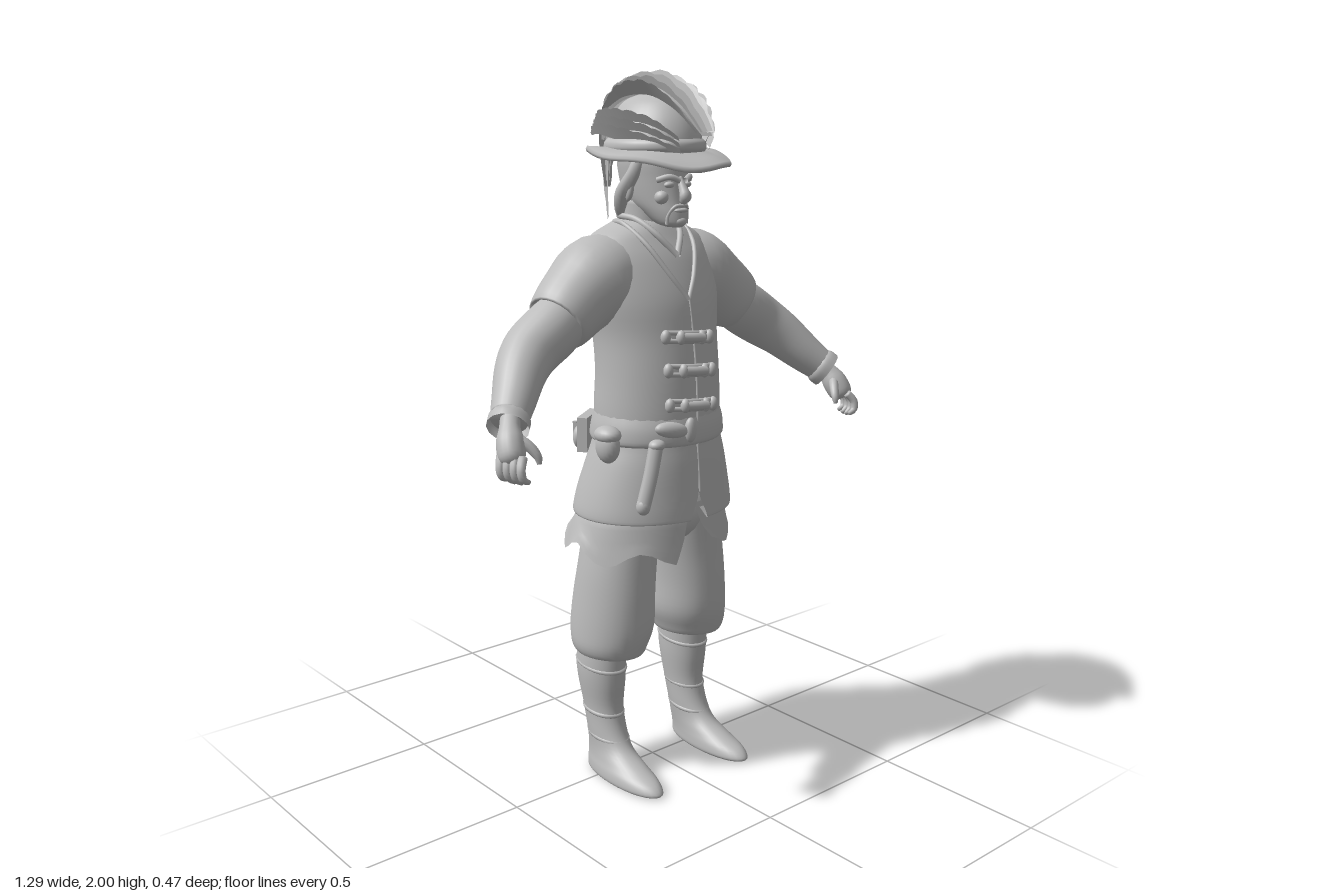
import * as THREE from 'three';
import { mergeVertices } from 'three/addons/utils/BufferGeometryUtils.js';

const V = (x, y, z) => new THREE.Vector3(x, y, z);
const grey = new THREE.MeshStandardMaterial({ color: 0xbcbcbc, side: THREE.DoubleSide });
grey.name = 'plain grey';

// Smoothly resample rows of numbers
function dense(rows, n = 4) {
  const out = [], at = i => rows[Math.min(Math.max(i, 0), rows.length - 1)];
  for (let i = 0; i < rows.length - 1; i++) for (let s = 0; s < n; s++) {
    const t = s / n;
    out.push(rows[i].map((b, k) => {
      const a = at(i - 1)[k], c = at(i + 1)[k], d = at(i + 2)[k];
      return 0.5 * (2 * b + (c - a) * t + (2 * a - 5 * b + 4 * c - d) * t * t + (3 * b - a - 3 * c + d) * t ** 3);
    }));
  }
  out.push(rows[rows.length - 1]);
  return out;
}

// Skin a list of point rings, optionally closing both ends
function loft(rings, capped = true) {
  const n = rings[0].length, pos = [], idx = [];
  rings.forEach(r => r.forEach(p => pos.push(p.x, p.y, p.z)));
  for (let i = 0; i < rings.length - 1; i++) for (let j = 0; j < n - 1; j++) {
    const a = i * n + j, d = a + n;
    idx.push(a, a + 1, d + 1, a, d + 1, d);
  }
  if (capped) [0, rings.length - 1].forEach(i => {
    const c = rings[i].slice(1).reduce((s, p) => s.add(p), V(0, 0, 0)).divideScalar(n - 1), ci = pos.length / 3;
    pos.push(c.x, c.y, c.z);
    for (let j = 0; j < n - 1; j++) {
      const a = i * n + j;
      i ? idx.push(a, a + 1, ci) : idx.push(a + 1, a, ci);
    }
  });
  let g = new THREE.BufferGeometry();
  g.setAttribute('position', new THREE.Float32BufferAttribute(pos, 3));
  g.setIndex(idx);
  g = mergeVertices(g, 1e-5);
  g.computeVertexNormals();
  return g;
}

// Upright form from rows [y, cx, cz, rx, rz, frontGap]
function upright(rows, capped = true, rule = p => p, seg = 32) {
  return loft(dense(rows).map(([y, cx, cz, rx, rz, gap = 0]) => Array.from({ length: seg + 1 }, (_, j) => {
    const g = Math.max(gap, 0), a = j === seg && !g ? 0 : g + (j / seg) * (2 * Math.PI - 2 * g);
    return rule(V(cx + rx * Math.sin(a), y, cz + rz * Math.cos(a)), a);
  })), capped);
}

// Limb from rows [x, y, z, radius]
function limb(rows, capped = true, seg = 18, n = 4) {
  const d = dense(rows, n);
  return loft(d.map(([x, y, z, r], i) => {
    const p = d[Math.max(i - 1, 0)], q = d[Math.min(i + 1, d.length - 1)];
    const t = V(q[0] - p[0], q[1] - p[1], q[2] - p[2]).normalize();
    const u = V(0.12, 0.3, 1).cross(t).normalize(), v = u.clone().cross(t);
    return Array.from({ length: seg + 1 }, (_, j) => {
      const a = (j % seg) / seg * 2 * Math.PI;
      return V(x, y, z).addScaledVector(u, r * Math.sin(a)).addScaledVector(v, r * Math.cos(a));
    });
  }), capped);
}

// Tapering, ragged feather blade along a path
function feather(pts, w, side, rag = 0.25) {
  const c = new THREE.CatmullRomCurve3(pts), N = 26;
  return loft(Array.from({ length: N + 1 }, (_, i) => {
    const t = i / N, p = c.getPoint(t), s = side(p).multiplyScalar(w * (0.15 + Math.sin(Math.PI * Math.min(t * 0.9 + 0.08, 1))));
    return [p.clone().sub(s), p.clone(), p.clone().addScaledVector(s, i % 3 ? 1 : 1 - rag)];
  }), false);
}

const tube = (pts, r, n = 24) => new THREE.TubeGeometry(new THREE.CatmullRomCurve3(pts), n, r, 8);

export function createModel() {
  const root = new THREE.Group();
  const add = (name, geo, parent = root, p = [0, 0, 0], s = [1, 1, 1], r = [0, 0, 0]) => {
    const m = new THREE.Mesh(geo, grey);
    m.name = name;
    m.position.set(...p); m.scale.set(...s); m.rotation.set(...r);
    parent.add(m);
    return m;
  };
  const ball = new THREE.SphereGeometry(1, 20, 14);

  // Tunic, open at the front hem
  const tunic = [[0.815, 0, 0, 0.215, 0.175, 0.12], [0.79, 0, 0, 0.24, 0.2, 0.13], [0.81, 0, 0, 0.243, 0.202, 0.1],
    [0.87, 0, 0.005, 0.23, 0.193, 0], [0.95, 0, 0.015, 0.208, 0.178, 0], [1.02, 0, 0.02, 0.188, 0.166, 0], [1.1, 0, 0.02, 0.187, 0.166, 0],
    [1.2, 0, 0.02, 0.184, 0.16, 0], [1.3, 0, 0.01, 0.187, 0.157, 0], [1.4, 0, -0.005, 0.205, 0.155, 0], [1.5, 0, -0.025, 0.21, 0.135, 0],
    [1.56, 0, -0.035, 0.18, 0.108, 0], [1.595, 0, -0.035, 0.11, 0.085, 0], [1.61, 0, -0.035, 0.07, 0.07, 0]];
  add('tunic', upright(tunic, false, p => p, 48));
  const rows = dense(tunic, 6).slice(14);
  const onFront = (x, y, off = 0) => {
    const i = Math.max(rows.findIndex(r => r[0] >= y), 1), a = rows[i - 1], b = rows[i], t = (y - a[0]) / (b[0] - a[0]);
    const m = k => a[k] + (b[k] - a[k]) * t;
    return V(x, y, m(2) + m(4) * Math.sqrt(Math.max(0, 1 - (x / m(3)) ** 2)) + off);
  };
  add('waistFold', upright([[1.0, 0, 0.018, 0.188, 0.164], [1.012, 0, 0.018, 0.199, 0.176], [1.05, 0, 0.02, 0.196, 0.174], [1.085, 0, 0.02, 0.186, 0.165]], false));

  // Ragged undershirt tails
  add('undershirt', upright([[0.83, 0, 0, 0.21, 0.17, 0.04], [0.77, 0, -0.01, 0.235, 0.19, 0.12], [0.7, 0, -0.024, 0.258, 0.212, 0.26]],
    false, (p, a) => { if (p.y < 0.76) p.y += (0.76 - p.y) * 0.35 * Math.sin(a * 7) + (p.z > 0 && p.x < 0 ? -0.015 : 0); return p; }, 40));
  add('hips', ball, root, [0, 0.77, 0], [0.2, 0.1, 0.13]);

  // Collar and jacket closure
  for (const s of [1, -1]) {
    add('collarOuter', tube([V(0, 1.6, -0.118), V(s * 0.075, 1.6, -0.075), V(s * 0.098, 1.6, -0.01), onFront(s * 0.085, 1.55, 0.004),
      onFront(s * 0.045, 1.47, 0.002), onFront(0, 1.4, 0.001)], 0.007));
    add('collarInner', tube([V(0, 1.617, -0.105), V(s * 0.068, 1.617, -0.06), V(s * 0.065, 1.61, 0.005), onFront(s * 0.045, 1.575, 0.004), onFront(0, 1.515, 0.002)], 0.009));
  }
  add('frontSeam', tube([1.4, 1.3, 1.2, 1.1, 1.0, 0.9, 0.87].map(y => onFront(0.004, y, 0)), 0.004));
  [1.3, 1.21, 1.115].forEach((y, i) => {
    const g = new THREE.Group();
    g.name = 'toggle' + (i + 1);
    root.add(g);
    [0.011, -0.011].forEach(dy => add('cord', tube([-0.085, -0.03, 0.02, 0.06].map(x => onFront(x, y + dy - x * 0.08, 0.005)), 0.007, 12), g));
    add('peg', tube([-0.045, -0.01, 0.025].map(x => onFront(x, y - x * 0.08, 0.016)), 0.013, 10), g);
    [-0.088, -0.045, 0.027, 0.06].forEach(x => add('knot', ball, g, onFront(x, y - x * 0.08, 0.01).toArray(), [0.014, 0.02, 0.014]));
  });

  // Belt items
  add('sashKnot', ball, root, onFront(-0.085, 1.055, 0.012).toArray(), [0.05, 0.022, 0.02], [0, -0.3, -0.15]);
  add('sashEnd', ball, root, onFront(-0.03, 1.05, 0.012).toArray(), [0.018, 0.035, 0.015]);
  add('scabbard', tube([onFront(-0.125, 1.01, 0.015), onFront(-0.145, 0.93, 0.015), onFront(-0.168, 0.85, 0.018)], 0.02), root);
  add('scabbardTip', ball, root, onFront(-0.168, 0.85, 0.018).toArray(), [0.02, 0.025, 0.02]);
  add('knifeHandle', ball, root, onFront(-0.122, 1.015, 0.015).toArray(), [0.024, 0.016, 0.022]);
  add('sidePouch', ball, root, [-0.212, 1.01, 0.06], [0.03, 0.05, 0.04]);
  add('sidePouchFlap', ball, root, [-0.212, 1.04, 0.06], [0.034, 0.025, 0.043]);
  const kit = new THREE.Group();
  kit.name = 'backPouch';
  kit.position.set(-0.115, 1.0, -0.15);
  kit.rotation.y = Math.PI + 0.62;
  root.add(kit);
  add('pouchBody', new THREE.BoxGeometry(0.13, 0.1, 0.03), kit);
  [-0.032, 0.032].forEach(x => {
    add('pocket', ball, kit, [x, -0.012, 0.018], [0.028, 0.034, 0.018]);
    add('pocketStrap', new THREE.BoxGeometry(0.01, 0.035, 0.012), kit, [x, 0.015, 0.03]);
  });

  // Mirrored limbs
  for (const s of [1, -1]) {
    const side = new THREE.Group();
    side.name = s > 0 ? 'leftLimbs' : 'rightLimbs';
    side.scale.x = s;
    root.add(side);
    add('sleeve', limb([[0.04, 1.465, -0.03, 0.09], [0.16, 1.453, -0.032, 0.122], [0.25, 1.405, -0.022, 0.106], [0.322, 1.352, -0.008, 0.09], [0.33, 1.347, -0.006, 0.07]], true, 24), side);
    add('forearm', limb([[0.29, 1.372, -0.012, 0.075], [0.35, 1.332, -0.004, 0.08], [0.42, 1.288, 0.004, 0.077], [0.475, 1.245, 0.035, 0.069],
      [0.53, 1.187, 0.082, 0.058], [0.572, 1.145, 0.118, 0.049]], true, 24), side);
    add('cuff', limb([[0.563, 1.153, 0.11, 0.047], [0.572, 1.144, 0.119, 0.055], [0.586, 1.13, 0.132, 0.055]], false, 14), side);
    add('palm', limb([[0.56, 1.155, 0.108, 0.026], [0.582, 1.13, 0.135, 0.027], [0.595, 1.1, 0.155, 0.036], [0.605, 1.065, 0.175, 0.034], [0.608, 1.05, 0.182, 0.02]]), side);
    for (let f = 0; f < 4; f++) {
      const o = f - 1.5, x = 0.606 + o * 0.007, z = 0.178 - o * 0.02;
      add('finger' + (f + 1), limb([[x, 1.075 + 0.004 * o, z, 0.012], [x + 0.016, 1.045, z + 0.014, 0.0115], [x + 0.013, 1.02, z + 0.018, 0.01],
        [x - 0.006, 1.002 + 0.005 * Math.abs(o), z + 0.016, 0.006]], true, 10), side);
    }
    add('thumb', limb([[0.585, 1.11, 0.16, 0.015], [0.562, 1.09, 0.185, 0.014], [0.548, 1.065, 0.203, 0.011], [0.546, 1.045, 0.208, 0.006]], true, 10), side);
    // Baggy breeches gathered below the knee
    add('breeches', upright([[0.41, 0.15, -0.03, 0.06, 0.08], [0.378, 0.15, -0.018, 0.088, 0.108], [0.405, 0.15, -0.016, 0.104, 0.122], [0.46, 0.141, -0.015, 0.113, 0.133],
      [0.55, 0.137, -0.01, 0.109, 0.13], [0.65, 0.128, -0.004, 0.106, 0.122], [0.79, 0.108, 0, 0.102, 0.12]]), side);
    // Soft boot with a long toe
    add('boot', upright([[0, 0.168, 0.068, 0.048, 0.145], [0.01, 0.168, 0.073, 0.057, 0.158], [0.032, 0.167, 0.062, 0.056, 0.147], [0.055, 0.164, 0.033, 0.051, 0.118],
      [0.085, 0.161, 0, 0.048, 0.086], [0.13, 0.159, -0.02, 0.05, 0.07], [0.2, 0.158, -0.038, 0.052, 0.069], [0.28, 0.159, -0.044, 0.061, 0.081],
      [0.34, 0.159, -0.045, 0.063, 0.086], [0.43, 0.155, -0.035, 0.06, 0.08]]), side);
    [0.115, 0.19, 0.33].forEach((y, i) => add('bootFold', new THREE.TorusGeometry(1, 0.12, 8, 28), side, [0.159, y, [-0.014, -0.036, -0.045][i]],
      [[0.046, 0.048, 0.058][i], [0.068, 0.065, 0.081][i], 0.06], [Math.PI / 2 + 0.1, 0, 0]));
    // Face halves
    add('eye', ball, side, [0.03, 1.705, 0.104], [0.016, 0.009, 0.012]);
    add('brow', tube([V(0.01, 1.716, 0.124), V(0.035, 1.726, 0.112), V(0.058, 1.717, 0.085)], 0.008, 10), side);
    add('cheek', ball, side, [0.04, 1.672, 0.085], [0.02, 0.02, 0.022]);
    add('moustache', tube([V(0, 1.651, 0.127), V(0.02, 1.648, 0.118), V(0.033, 1.625, 0.104), V(0.035, 1.6, 0.1)], 0.005, 12), side);
    add('ear', ball, side, [0.08, 1.692, -0.005], [0.012, 0.034, 0.022], [0.15, 0.3, 0]);
    add('sideLock', limb([[0.068, 1.77, 0.03, 0.02], [0.082, 1.73, 0.015, 0.019], [0.085, 1.68, -0.025, 0.022], [0.075, 1.635, -0.05, 0.015], [0.06, 1.605, -0.06, 0.005]], true, 10), side);
  }

  // Head and neck
  add('neck', upright([[1.55, 0, -0.035, 0.075, 0.075], [1.6, 0, -0.03, 0.065, 0.075], [1.66, 0, -0.025, 0.065, 0.08]]));
  add('head', upright([[1.592, 0, 0.09, 0.018, 0.025], [1.602, 0, 0.075, 0.036, 0.05], [1.63, 0, 0.05, 0.053, 0.075], [1.665, 0, 0.015, 0.068, 0.105],
    [1.72, 0, 0.003, 0.078, 0.113], [1.78, 0, 0, 0.082, 0.115], [1.84, 0, 0, 0.06, 0.09]]));
  add('nose', limb([[0, 1.725, 0.108, 0.008], [0, 1.695, 0.126, 0.012], [0, 1.673, 0.134, 0.016], [0, 1.66, 0.122, 0.009]], true, 12));
  add('mouth', ball, root, [0, 1.637, 0.118], [0.023, 0.007, 0.012]);
  add('chin', ball, root, [0, 1.608, 0.112], [0.02, 0.014, 0.018]);

  // Hat: brim dipping at the front, with a soft crown
  const brim = [[0.52, 1.775], [0.8, 1.768], [1, 1.765], [1.01, 1.772], [0.99, 1.78], [0.8, 1.788], [0.52, 1.8]];
  add('hatBrim', loft(brim.map(([r, y]) => Array.from({ length: 49 }, (_, j) => {
    const a = (j % 48) / 48 * 2 * Math.PI, c = Math.cos(a), e = (r - 0.5) * 2;
    return V(r * 0.19 * Math.sin(a), y + e * (-0.022 * c + 0.012 * Math.sin(a) ** 2 + 0.005 * Math.sin(5 * a)), 0.025 + r * 0.203 * c);
  })), false));
  add('hatCrown', upright([[1.77, 0, 0.01, 0.125, 0.145], [1.83, 0, 0.01, 0.115, 0.14], [1.88, 0, 0.005, 0.098, 0.125], [1.92, 0, 0, 0.068, 0.095], [1.94, 0, 0, 0.03, 0.05]]));
  add('hatBand', upright([[1.79, 0, 0.01, 0.124, 0.146], [1.8, 0, 0.01, 0.13, 0.152], [1.815, 0, 0.01, 0.128, 0.15], [1.825, 0, 0.01, 0.118, 0.141]], false));

  // Crest of plumes arching from front to back
  const arc = [[0.23, 1.845], [0.15, 1.925], [0.04, 1.975], [-0.08, 1.965], [-0.165, 1.915], [-0.2, 1.82], [-0.205, 1.7], [-0.195, 1.6]];
  for (let k = -3; k <= 3; k++) {
    const shrink = 1 - 0.035 * Math.abs(k), tilt = k * 0.28;
    const pts = arc.slice(0, 8 - Math.abs(k)).map(([z, y], i) => V(k * 0.019 * Math.sin((i + 1.2) / 8 * Math.PI), 1.8 + (y - 1.8) * shrink, z * shrink));
    add('plume', feather(pts, 0.026, p => V(0, p.y - 1.8, p.z).normalize().multiplyScalar(Math.cos(tilt)).add(V(Math.sin(tilt) + 0.2, 0, 0))));
  }
  add('plumeSpine', feather(arc.slice(0, 7).map(([z, y]) => V(0, y - 0.012, z * 0.96)), 0.05, () => V(1, 0, 0)));
  // Side feathers sweeping back over the brim
  for (const [s, count] of [[1, 5], [-1, 3]]) for (let k = 0; k < count; k++) {
    const w = s > 0 ? 1 : 0.78, h = k * 0.022;
    add('sideFeather', feather([V(s * (0.05 - k * 0.006), 1.795 + h * 0.7, 0.17 - k * 0.01), V(s * (0.125 - h * 0.4) * w, 1.82 + h, 0.1),
      V(s * (0.165 - h * 0.5) * w, 1.84 + h, 0), V(s * (0.15 - h * 0.5) * w, 1.85 + h * 0.8, -0.1), V(s * (0.1 - h * 0.4) * w, 1.835 + h * 0.7, -0.17)],
      0.02, () => V(s * 0.5, 0.85, 0)));
  }
  return root;
}
